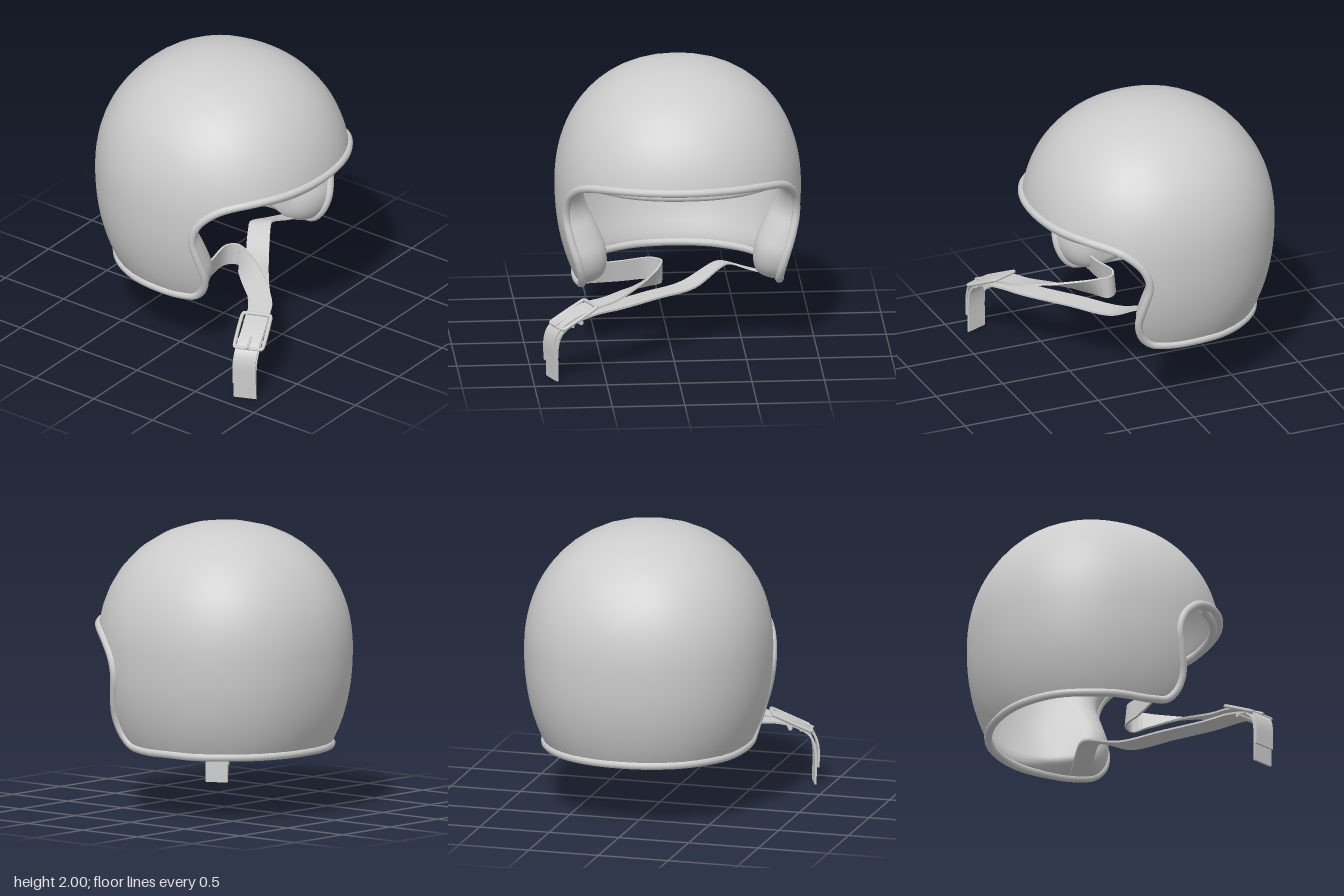
import * as THREE from 'three';
import { mergeVertices, toCreasedNormals } from 'three/addons/utils/BufferGeometryUtils.js';

const V = (x, y, z) => new THREE.Vector3(x, y, z);
const CENTER = V(0.065, 1.12, -0.055);
const DEG = Math.PI / 180;
const POWER = 2.16, TOP = 0.88, BOTTOM = 1.11;
const norm = (...c) => c.reduce((s, a) => s + Math.abs(a) ** POWER, 0) ** (1 / POWER);

// Shell surface: a slightly boxy ellipsoid with a longer lower half; e is a direction
function onShell(e, k = 1) {
  const s = k / norm(e.x, e.y, e.z);
  return V(0.847 * e.x * s, (e.y > 0 ? TOP : BOTTOM) * e.y * s, 0.865 * e.z * s).add(CENTER);
}

// Unit direction for an azimuth (0 = front, towards +x) and a height
function direction(phi, y) {
  const h = y - CENTER.y;
  const ey = h / (h > 0 ? TOP : BOTTOM);
  const sin = Math.sin(phi * DEG), cos = Math.cos(phi * DEG);
  const s = (1 - Math.abs(ey) ** POWER) ** (1 / POWER) / norm(sin, cos);
  return V(s * sin, ey, s * cos).normalize();
}

// Edge of the face opening and neck, from brow to nape on one side
const HALF_EDGE = [
  [0, 1.302], [20, 1.3], [40, 1.285], [50, 1.262], [57.2, 1.222], [63.8, 1.145], [67.6, 1.045],
  [68.2, 0.96], [66.6, 0.87], [64.8, 0.78], [63, 0.68], [64, 0.57], [68.6, 0.49], [78, 0.465],
  [101, 0.46], [130, 0.458], [155, 0.457], [180, 0.457],
];
const edgeDirs = [
  ...HALF_EDGE.map(([p, y]) => direction(p, y)),
  ...HALF_EDGE.slice(1, -1).reverse().map(([p, y]) => direction(-p, y)),
];
const edgeCurve = new THREE.CatmullRomCurve3(edgeDirs, true);

// Grid of rings spreading from a pole at the back out to the edge
function domeGeometry(place, inward) {
  const rows = 40, cols = 112, pos = [], idx = [];
  const pole = V(0, 0.35, -0.94).normalize();
  const rim = Array.from({ length: cols }, (_, j) => edgeCurve.getPoint(j / cols).normalize());
  for (let i = 0; i <= rows; i++) {
    const v = 1 - (1 - i / rows) ** 1.8;
    for (const d of rim) {
      const ang = pole.angleTo(d);
      const e = pole.clone().multiplyScalar(Math.sin((1 - v) * ang))
        .addScaledVector(d, Math.sin(v * ang)).normalize();
      pos.push(...place(e, v).toArray());
    }
  }
  for (let i = 0; i < rows; i++) {
    for (let j = 0; j < cols; j++) {
      const n = (j + 1) % cols;
      const a = i * cols + j, b = (i + 1) * cols + j, c = (i + 1) * cols + n, d = i * cols + n;
      const quad = i === 0 ? [a, b, c] : [a, b, c, a, c, d];
      idx.push(...(inward ? quad.reverse() : quad));
    }
  }
  const g = new THREE.BufferGeometry();
  g.setAttribute('position', new THREE.Float32BufferAttribute(pos, 3));
  g.setIndex(idx);
  const merged = mergeVertices(g, 1e-5);
  merged.computeVertexNormals();
  return merged;
}

// Lining with thick cheek pads and a rounded lip at the edge
const CHEEK = V(0.85, -0.34, 0.35).normalize();
function onLiner(e, v) {
  const u = Math.min(1, (1 - v) / 0.13);
  const f = Math.sqrt(1 - (1 - u) ** 2);
  const p = onShell(e, 1 - 0.035 * f);
  const near = V(Math.abs(e.x), e.y, e.z).dot(CHEEK);
  p.x -= Math.sign(e.x) * 0.265 * f * Math.exp(-8.5 * (1 - near));
  return p;
}

// Flat strap swept along points; each row is x, y, z, then the width direction
function strapGeometry(rows, width, thick) {
  const path = new THREE.CatmullRomCurve3(rows.map((r) => V(r[0], r[1], r[2])), false, 'centripetal');
  const across = new THREE.CatmullRomCurve3(rows.map((r) => V(r[3], r[4], r[5]).normalize()));
  const steps = (rows.length - 1) * 5, pos = [], idx = [];
  for (let i = 0; i <= steps; i++) {
    const t = i / steps, p = path.getPoint(t);
    const w = across.getPoint(t).normalize();
    const n = path.getTangent(t).cross(w).normalize();
    for (const [a, b] of [[-1, -1], [1, -1], [1, 1], [-1, 1]]) {
      pos.push(...p.clone().addScaledVector(w, a * width / 2).addScaledVector(n, b * thick / 2).toArray());
    }
  }
  for (let i = 0; i < steps; i++) {
    for (let k = 0; k < 4; k++) {
      const a = i * 4 + k, b = i * 4 + (k + 1) % 4;
      idx.push(a, b, b + 4, a, b + 4, a + 4);
    }
  }
  const e = steps * 4;
  idx.push(0, 2, 1, 0, 3, 2, e, e + 1, e + 2, e, e + 2, e + 3);
  const g = new THREE.BufferGeometry();
  g.setAttribute('position', new THREE.Float32BufferAttribute(pos, 3));
  g.setIndex(idx);
  return toCreasedNormals(g, 0.7);
}

export function createModel() {
  const model = new THREE.Group();
  model.name = 'openFaceHelmet';
  const grey = new THREE.MeshStandardMaterial({ color: 0xcccccc, side: THREE.DoubleSide });
  grey.name = 'grey';
  const add = (name, geometry, parent = model) => {
    const mesh = new THREE.Mesh(geometry, grey);
    mesh.name = name;
    parent.add(mesh);
    return mesh;
  };

  // Shell, lining and edge trim
  add('shell', domeGeometry((e) => onShell(e), false));
  add('lining', domeGeometry(onLiner, true));
  const trimPoints = Array.from({ length: 112 }, (_, j) => onShell(edgeCurve.getPoint(j / 112)));
  add('edgeTrim', new THREE.TubeGeometry(new THREE.CatmullRomCurve3(trimPoints, true), 180, 0.028, 10, true));

  // Padding roll behind the brow
  const browPoints = [-46, -30, -15, 0, 15, 30, 46].map((p) => onShell(direction(p, 1.268), 0.945));
  add('browPad', new THREE.TubeGeometry(new THREE.CatmullRomCurve3(browPoints), 40, 0.028, 8));

  // Chin straps: one curls back from the right cheek, one crosses from the left
  const W = [0.39, 0, 0.92];
  add('rightStrap', strapGeometry([
    [-0.6, 0.53, 0.14, 0.2, 0.9, 0.3],
    [-0.34, 0.545, 0.13, 0.1, 1, 0.2],
    [-0.13, 0.555, 0.11, 0, 1, 0.1],
    [-0.065, 0.55, 0.17, 0, 1, 0],
    [-0.13, 0.54, 0.28, 0.3, 0.8, 0.4],
    [-0.31, 0.525, 0.5, 0.55, 0.35, 0.8],
    [-0.46, 0.505, 0.66, 0.45, 0.1, 0.88],
    [-0.6, 0.485, 0.73, ...W],
    [-0.75, 0.43, 0.795, ...W],
    [-0.85, 0.36, 0.825, ...W],
    [-0.882, 0.28, 0.83, ...W],
    [-0.884, 0.12, 0.83, ...W],
  ], 0.16, 0.014));
  add('leftStrap', strapGeometry([
    [0.74, 0.48, 0.11, 0.1, 0.2, 1],
    [0.54, 0.52, 0.06, 0.2, 0.2, 1],
    [0.38, 0.56, 0.04, 0.3, 0.2, 1],
    [0.32, 0.548, 0.07, 0.3, 0.1, 1],
    [0.12, 0.455, 0.2, 0.5, 0, 0.85],
    [-0.15, 0.448, 0.4, 0.6, 0, 0.8],
    [-0.42, 0.448, 0.62, 0.5, 0, 0.87],
    [-0.6, 0.445, 0.73, ...W],
    [-0.74, 0.405, 0.79, ...W],
    [-0.83, 0.34, 0.82, ...W],
    [-0.862, 0.25, 0.825, ...W],
    [-0.864, 0, 0.825, ...W],
  ], 0.16, 0.014));

  // Buckle: rounded frame, centre bar, prong and keeper, tilted along the strap
  const buckle = new THREE.Group();
  buckle.name = 'buckle';
  const w = V(...W).normalize();
  const u = V(-0.8, -0.42, 0.34).normalize();
  u.addScaledVector(w, -u.dot(w)).normalize();
  const n = u.clone().cross(w);
  buckle.applyMatrix4(new THREE.Matrix4().makeBasis(u, n, w.clone().negate()).setPosition(-0.715, 0.44, 0.778));
  model.add(buckle);
  const framePoints = [];
  for (const [sx, sz] of [[1, 1], [-1, 1], [-1, -1], [1, -1]]) {
    const a = V(sx * 0.145, 0, sz * 0.085), b = V(sx * 0.128, 0, sz * 0.1);
    const mid = V(sx * 0.141, 0, sz * 0.096);
    framePoints.push(...(sx * sz > 0 ? [a, mid, b] : [b, mid, a]));
  }
  add('buckleFrame', new THREE.TubeGeometry(
    new THREE.CatmullRomCurve3(framePoints, true, 'centripetal'), 96, 0.013, 8, true), buckle);
  const bar = (name, radius, length, x, y, alongU) => {
    const m = add(name, new THREE.CylinderGeometry(radius, radius, length, 10), buckle);
    m.position.set(x, y, 0);
    if (alongU) m.rotation.z = Math.PI / 2;
    else m.rotation.x = Math.PI / 2;
  };
  bar('buckleBar', 0.011, 0.2, 0.07, -0.02, false);
  bar('buckleProng', 0.01, 0.1, 0.11, 0.014, true);
  bar('strapKeeper', 0.016, 0.17, 0, -0.042, false);

  return model;
}
